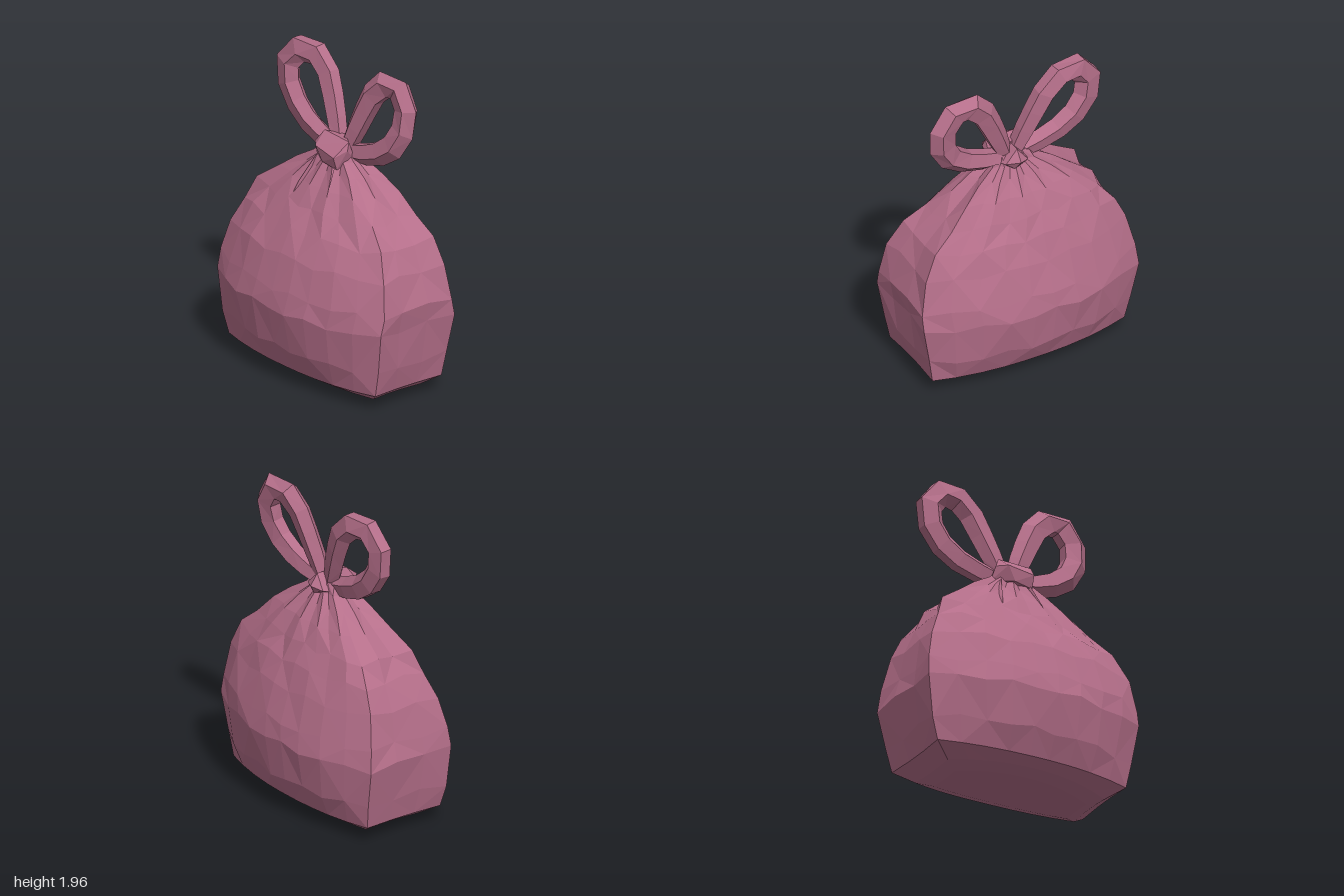
import * as THREE from 'three';
import { ConvexGeometry } from 'three/addons/geometries/ConvexGeometry.js';

// Skin a list of equal-length point rings and cap both ends
function loft(rings, capLift = 0) {
  const n = rings[0].length, pos = [], index = [];
  rings.forEach(r => r.forEach(p => pos.push(p.x, p.y, p.z)));
  for (let i = 0; i < rings.length - 1; i++) {
    for (let j = 0; j < n; j++) {
      const a = i * n + j, b = i * n + (j + 1) % n, c = b + n, d = a + n;
      if ((i + j) % 2) index.push(a, b, c, a, c, d);
      else index.push(a, b, d, b, c, d);
    }
  }
  [0, rings.length - 1].forEach((ri, end) => {
    const mid = new THREE.Vector3();
    rings[ri].forEach(p => mid.addScaledVector(p, 1 / n));
    if (!end) mid.y += capLift;
    const m = pos.length / 3;
    pos.push(mid.x, mid.y, mid.z);
    for (let j = 0; j < n; j++) {
      const a = ri * n + j, b = ri * n + (j + 1) % n;
      if (end) index.push(a, b, m); else index.push(b, a, m);
    }
  });
  const g = new THREE.BufferGeometry();
  g.setAttribute('position', new THREE.Float32BufferAttribute(pos, 3));
  g.setIndex(index);
  const flat = g.toNonIndexed();
  flat.computeVertexNormals();
  return flat;
}

// Bag outline going round: bowed front, flat right gusset, bowed back, left gusset
function bagSection(corner) {
  const pts = [], us = [-1, -0.78, -0.55, -0.32, -0.1, 0.1, 0.32, 0.55, 0.78, 1];
  const bow = u => 1 - (1 - corner) * Math.pow(Math.abs(u), 2.3);
  // the front is a little fuller on one side
  us.forEach(u => pts.push([u, bow(u) - 0.04 * u * Math.abs(u)]));
  [0.25, -0.2].forEach(v => pts.push([0.985, v]));
  us.forEach(u => pts.push([-u, -bow(u)]));
  [-0.2, 0.25].forEach(v => pts.push([-0.985, v]));
  return pts;
}

function bagGeometry() {
  // y, left x, right x, back z, front z, gusset half-depth, pleat depth
  const levels = [
    [0.005, -0.45, 0.46, -0.2, 0.2, 0.6, 0],
    [0.03, -0.54, 0.54, -0.28, 0.29, 0.65, 0],
    [0.1, -0.655, 0.645, -0.35, 0.36, 0.74, 0],
    [0.25, -0.69, 0.68, -0.425, 0.425, 0.65, 0],
    [0.5, -0.735, 0.715, -0.47, 0.47, 0.62, 0],
    [0.62, -0.715, 0.73, -0.45, 0.445, 0.61, 0],
    [0.82, -0.675, 0.68, -0.395, 0.385, 0.62, 0],
    [0.97, -0.61, 0.61, -0.345, 0.305, 0.64, 0.01],
    [1.09, -0.545, 0.49, -0.295, 0.235, 0.65, 0.05],
    [1.21, -0.4, 0.37, -0.24, 0.17, 0.66, 0.1],
    [1.3, -0.28, 0.26, -0.18, 0.115, 0.66, 0.15],
    [1.37, -0.16, 0.15, -0.13, 0.075, 0.66, 0.16],
    [1.43, -0.1, 0.1, -0.1, 0.03, 0.66, 0],
  ];
  return loft(levels.map(([y, xl, xr, zb, zf, corner, pleat], i) => {
    const cx = (xl + xr) / 2, cz = (zb + zf) / 2;
    // gentle crumpling of the sheet, and a slight arch under the base
    const w = i > 2 && i < 9 ? 0.01 : 0;
    const arch = i < 2 ? 0.03 : 0;
    return bagSection(corner).map(([u, v], j) => {
      // alternate columns sink into gathers near the neck
      const s = 1 - (j % 2 ? pleat : 0);
      const dy = w * 1.6 * Math.sin(j * 2.3 + i * 1.7) + arch * (1 - u * u);
      const dr = 1 + w * Math.sin(j * 1.9 + i * 2.6);
      return new THREE.Vector3(
        cx + u * s * dr * (xr - xl) / 2,
        y + dy,
        cz + v * s * dr * (zf - zb) / 2);
    });
  }), 0.02);
}

// Tied handle: faceted strap swept along a curve, widest in the middle
function strapGeometry(path, sides = 5, steps = 11) {
  const curve = new THREE.CatmullRomCurve3(path.map(p => new THREE.Vector3(...p)));
  const rings = [];
  for (let i = 0; i <= steps; i++) {
    const t = i / steps, c = curve.getPointAt(t), T = curve.getTangentAt(t);
    const N = new THREE.Vector3(0, 0, 1).addScaledVector(T, -T.z).normalize();
    const B = new THREE.Vector3().crossVectors(T, N);
    const swell = Math.pow(Math.sin(Math.PI * t), 0.6);
    const wide = 0.055 + 0.034 * swell, thick = 0.05 + 0.012 * swell;
    const ring = [];
    for (let k = 0; k < sides; k++) {
      const a = (k / sides) * Math.PI * 2 + 0.3;
      ring.push(c.clone().addScaledVector(N, Math.cos(a) * thick).addScaledVector(B, Math.sin(a) * wide));
    }
    rings.push(ring);
  }
  return loft(rings);
}

export function createModel() {
  const plastic = new THREE.MeshStandardMaterial({ color: 0xb56f8a, flatShading: true });
  plastic.name = 'dusty pink plastic';
  const model = new THREE.Group();
  model.name = 'tiedBag';
  const add = (name, geometry) => {
    const mesh = new THREE.Mesh(geometry, plastic);
    mesh.name = name;
    model.add(mesh);
  };

  add('bagBody', bagGeometry());

  // Two handle loops
  add('rightLoop', strapGeometry([
    [-0.06, 1.4, -0.04], [-0.3, 1.47, -0.05], [-0.465, 1.6, -0.06], [-0.52, 1.75, -0.06],
    [-0.48, 1.86, -0.07], [-0.375, 1.91, -0.09], [-0.25, 1.86, -0.105], [-0.155, 1.7, -0.09], [-0.04, 1.44, -0.05],
  ]));
  add('leftLoop', strapGeometry([
    [0.06, 1.4, -0.05], [0.28, 1.45, -0.06], [0.44, 1.56, -0.08], [0.495, 1.69, -0.105],
    [0.48, 1.82, -0.12], [0.375, 1.91, -0.12], [0.24, 1.83, -0.1], [0.155, 1.68, -0.08], [0.05, 1.44, -0.05],
  ]));

  // Knot: a front fold and a smaller back fold
  const hull = pts => new ConvexGeometry(pts.map(p => new THREE.Vector3(...p)));
  add('knotFront', hull([
    [-0.09, 1.51, 0.02], [0.13, 1.5, 0.02], [-0.13, 1.44, 0.06], [0.14, 1.45, 0.04],
    [-0.07, 1.44, 0.11], [0.1, 1.41, 0.115], [-0.15, 1.35, 0.03], [0.1, 1.33, 0.09],
    [-0.02, 1.35, 0.1], [0, 1.49, -0.06], [0.12, 1.36, -0.04], [-0.12, 1.36, -0.05],
  ]));
  add('knotBack', hull([
    [0, 1.41, -0.18], [-0.07, 1.39, -0.14], [0.08, 1.4, -0.14], [0, 1.48, -0.13],
    [0.02, 1.35, -0.14], [-0.1, 1.37, -0.05], [0.11, 1.38, -0.05], [0, 1.48, -0.02],
  ]));

  // Loose gather folds running down the front from the knot
  [[-0.1, 0.04, -0.2, 0.97, 0.3], [0.08, 0.05, 0.15, 1.06, 0.25]].forEach(([x0, z0, x1, y1, z1], i) => {
    const xm = (x0 + x1) / 2;
    add('gatherFold' + (i + 1), hull([
      [x0 - 0.025, 1.38, z0 - 0.02], [x0 + 0.025, 1.38, z0 - 0.02], [x0, 1.37, z0 + 0.03],
      [xm - 0.04, 1.2, 0.1], [xm + 0.04, 1.2, 0.1], [xm, 1.2, 0.175], [x1, y1, z1 - 0.03],
    ]));
  });
  return model;
}
